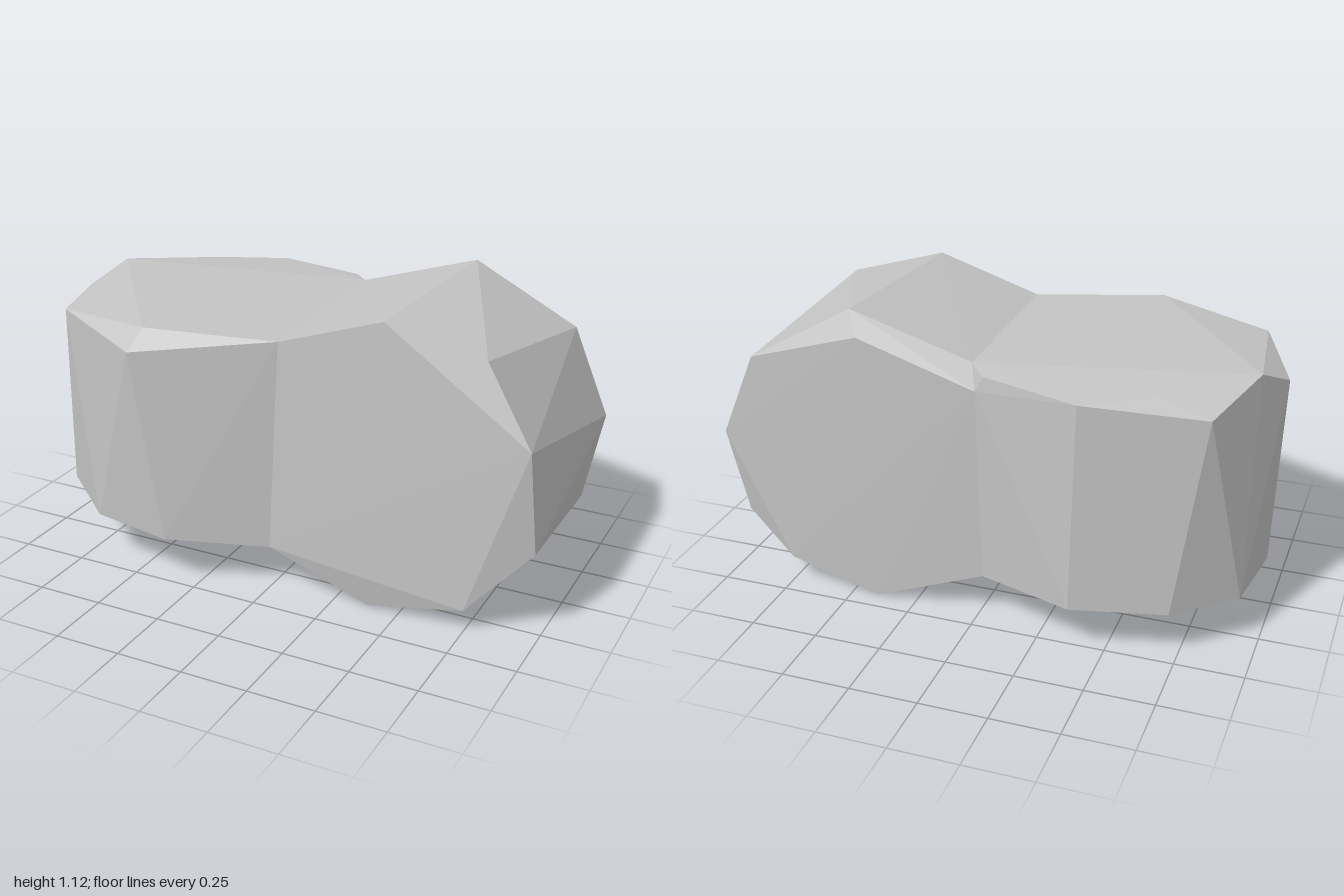
import * as THREE from 'three';
import { ConvexGeometry } from 'three/addons/geometries/ConvexGeometry.js';

// Faceted boulder: an upright lobe and a sideways lobe meeting at a waist
export function createModel() {
  const stone = new THREE.MeshStandardMaterial({ color: 0xc4c4c4 });
  stone.name = 'stone grey';
  const rock = new THREE.Group();
  rock.name = 'rock';

  // Ring shared by both lobes
  const waist = [
    [0.04, 0.965, 0.365], [0, 0.165, 0.37], [0.03, 0.975, -0.375],
    [-0.01, 0.905, -0.458], [-0.02, 0.168, -0.43],
  ];

  // Upright lobe: chipped top, upper rim, lower rim
  const upright = [
    [-0.93, 0.985, -0.18], [-0.43, 0.98, 0.48], [-0.64, 0.963, -0.43], [-0.04, 0.965, -0.46],
    [-1, 0.91, -0.02], [-0.86, 0.94, 0.34], [-0.45, 0.91, 0.56],
    [-0.4, 0.955, -0.56], [-0.82, 0.91, -0.44],
    [-0.97, 0.18, 0.02], [-0.91, 0.22, 0.28], [-0.68, 0.185, 0.46], [-0.35, 0.19, 0.53],
    [-0.93, 0.18, -0.29], [-0.72, 0.18, -0.48], [-0.38, 0.18, -0.56],
  ];

  // Sideways lobe: front rim, back rim, chipped back edge
  const sideways = [
    [0.43, 1.095, 0.355], [0.78, 1.0, 0.31], [0.96, 0.73, 0.36],
    [0.98, 0.34, 0.31], [0.75, 0.09, 0.36], [0.38, 0.005, 0.34],
    [0.48, 1.115, -0.38], [0.86, 0.9, -0.42], [1, 0.58, -0.41],
    [0.94, 0.25, -0.38], [0.75, 0.095, -0.42], [0.4, 0, -0.425],
    [0.43, 1.04, -0.45],
  ];

  const addLobe = (name, points) => {
    const corners = [...points, ...waist].map((p) => new THREE.Vector3(...p));
    const lobe = new THREE.Mesh(new ConvexGeometry(corners), stone);
    lobe.name = name;
    rock.add(lobe);
  };
  addLobe('uprightLobe', upright);
  addLobe('sidewaysLobe', sideways);
  return rock;
}
